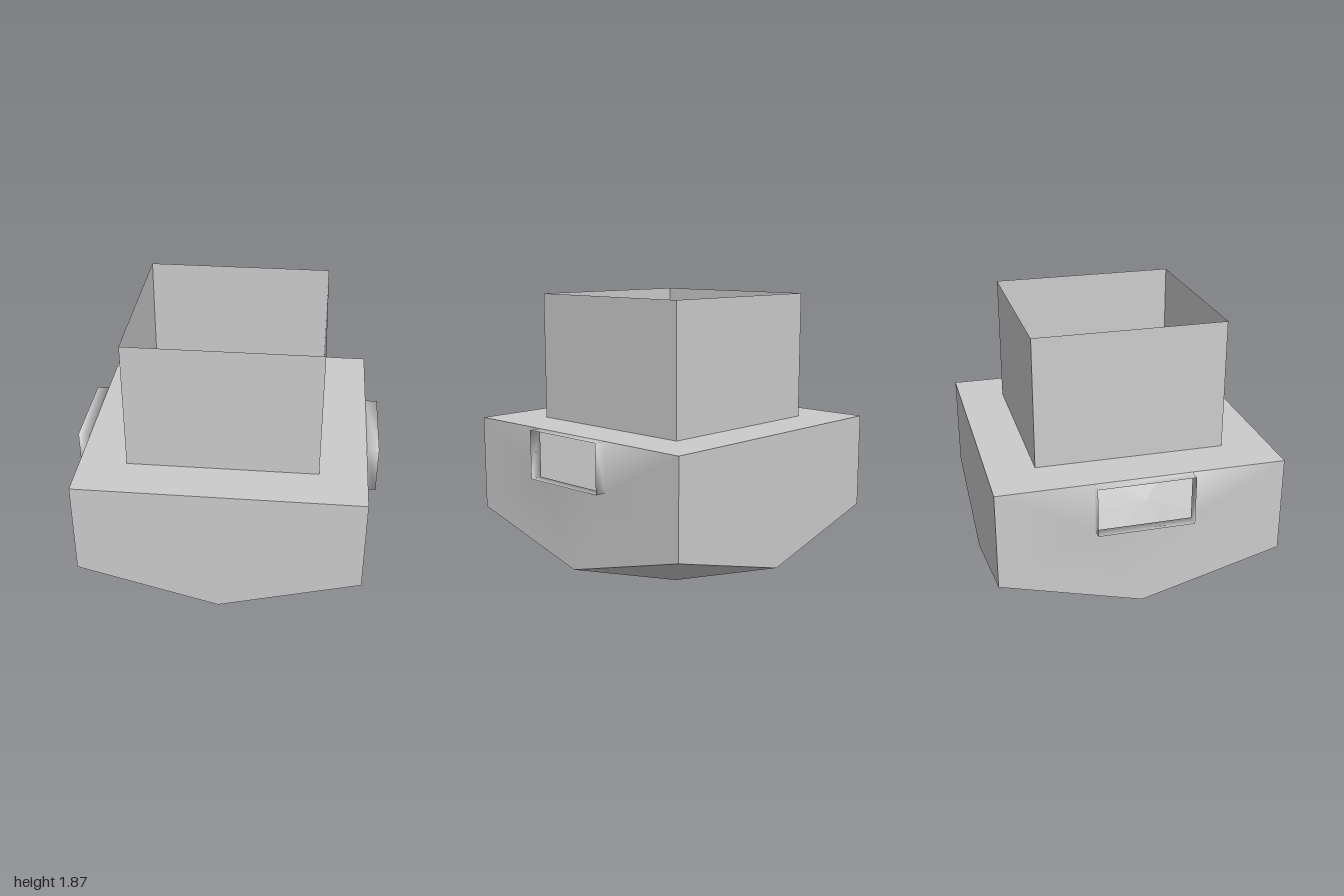
import * as THREE from 'three';

const W = 0.92;      // half width of the body
const DECK = 1.02;   // deck height
const TOP = 1.865;   // rim of the chimney
const C = 0.615;     // half width of the chimney

const material = (flatShading) => new THREE.MeshStandardMaterial({
  color: 0xcccccc, side: THREE.DoubleSide, flatShading,
});

function part(name, geometry, flat = true) {
  const mesh = new THREE.Mesh(geometry, material(flat));
  mesh.name = name;
  return mesh;
}

function surface(points, faces) {
  const g = new THREE.BufferGeometry();
  g.setAttribute('position', new THREE.Float32BufferAttribute(points.flat(), 3));
  g.setIndex(faces.flat());
  g.computeVertexNormals();
  return g;
}

// Side wall on +x with a window and a softly shaded sleeve around it
function windowWall() {
  const window = [[DECK, -0.31], [0.7, -0.31], [0.7, 0.31], [DECK, 0.31]];
  const points = [
    [W, DECK, W], [W, 0.39, W], [W, 0.14, 0], [W, 0.39, -W], [W, DECK, -W],
    ...window.map(([y, z]) => [W, y, z]),     // 5..8 inner loop
    ...window.map(([y, z]) => [1, y, z]),     // 9..12 outer loop
  ];
  const faces = [
    [0, 1, 7], [0, 7, 8], [1, 2, 7], [2, 6, 7], [2, 3, 6], [3, 4, 6], [4, 5, 6],
  ];
  for (let i = 0; i < 4; i++) {
    const j = (i + 1) % 4;
    faces.push([5 + j, 5 + i, 9 + i], [5 + j, 9 + i, 9 + j]);
  }
  return surface(points, faces);
}

// Plain wall on +z, its lower edge dipping to the middle
function plainWall() {
  const shape = new THREE.Shape([
    [-W, DECK], [-W, 0.39], [0, 0.14], [W, 0.39], [W, DECK],
  ].map(([x, y]) => new THREE.Vector2(x, y)));
  return new THREE.ShapeGeometry(shape).translate(0, 0, W);
}

// One quarter of the faceted underside
function hullQuarter() {
  return surface(
    [[0, 0, 0], [0.46, 0.045, 0], [0.46, 0.065, 0.46], [0, 0.045, 0.46],
      [W, 0.14, 0], [0, 0.14, W], [W, 0.39, W]],
    [[0, 1, 2], [0, 2, 3], [1, 4, 2], [2, 5, 3], [4, 6, 2], [6, 5, 2]],
  );
}

// Flat deck with the square chimney opening
function deck() {
  const square = (r) => [[-r, -r], [r, -r], [r, r], [-r, r]].map(([x, y]) => new THREE.Vector2(x, y));
  const shape = new THREE.Shape(square(W));
  shape.holes.push(new THREE.Path(square(C).reverse()));
  return new THREE.ShapeGeometry(shape).rotateX(-Math.PI / 2).translate(0, DECK, 0);
}

export function createModel() {
  const model = new THREE.Group();
  model.name = 'hollowVessel';
  model.add(part('deck', deck()));

  for (let i = 0; i < 4; i++) {
    const turn = i * Math.PI / 2;
    const hull = part('undersideQuarter', hullQuarter());
    const chimney = part('chimneyWall',
      new THREE.PlaneGeometry(2 * C, TOP - DECK).translate(0, (TOP + DECK) / 2, C));
    hull.rotation.y = chimney.rotation.y = turn;
    model.add(hull, chimney);
  }

  // Front and back walls, and the two windowed sides
  [['front', 'left', 0], ['back', 'right', Math.PI]].forEach(([end, side, turn]) => {
    const plain = part(end + 'Wall', plainWall());
    const windowed = part(side + 'WindowWall', windowWall(), false);
    plain.rotation.y = windowed.rotation.y = turn;
    model.add(plain, windowed);
  });
  return model;
}
